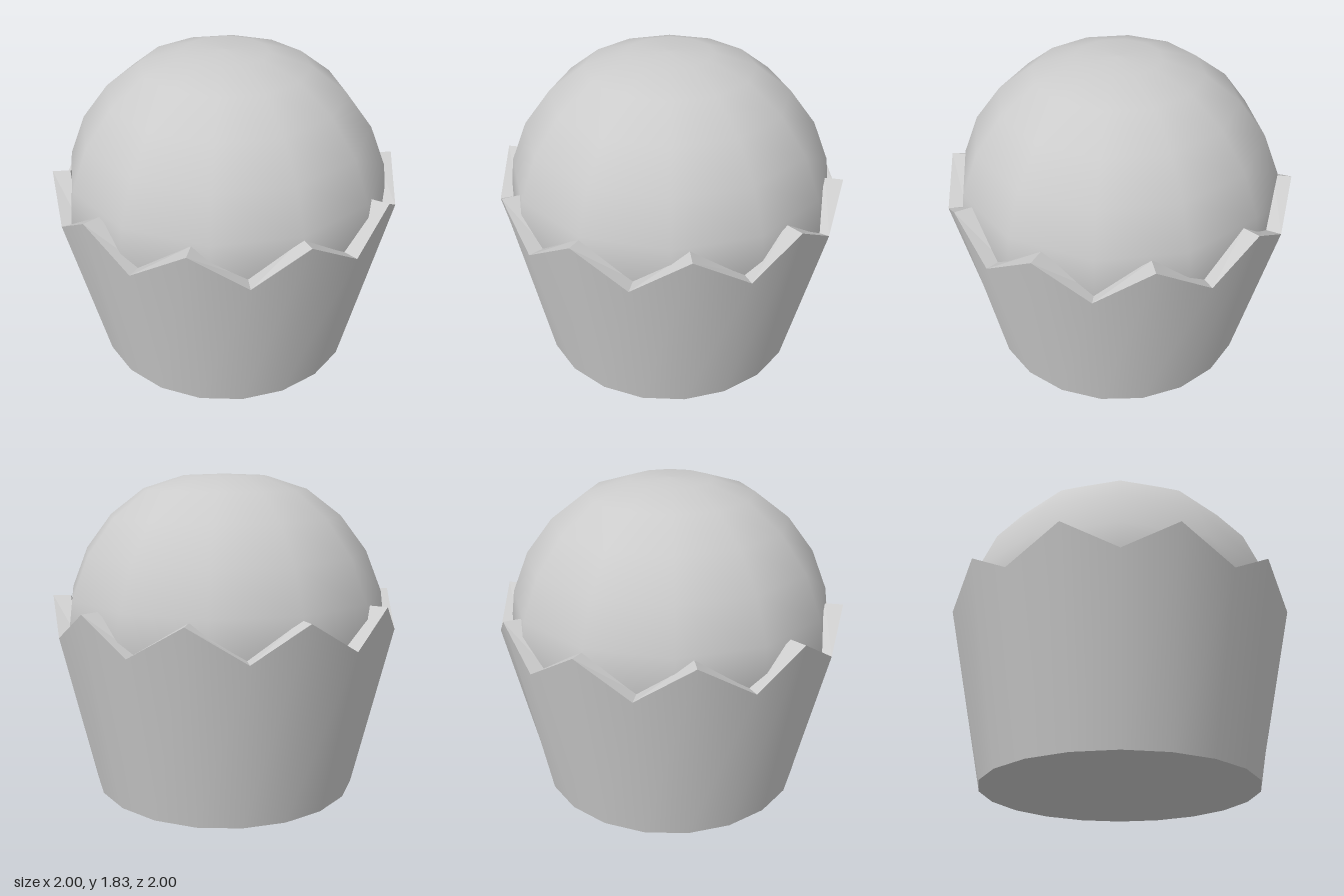
import * as THREE from 'three';

const SIDES = 20;
const PEAK = 1.14, VALLEY = 0.955;

// Height of the zigzag rim: peaks and valleys alternate around the cup
function rimHeight(x, z) {
  const k = Math.round(Math.atan2(x, z) / (2 * Math.PI / SIDES));
  return Math.abs(k) % 2 ? VALLEY : PEAK;
}

// Lift every vertex that passes the test onto the zigzag rim
function zigzag(geometry, isRim) {
  const p = geometry.attributes.position;
  for (let i = 0; i < p.count; i++) {
    if (isRim(p.getY(i))) p.setY(i, rimHeight(p.getX(i), p.getZ(i)));
  }
  return geometry;
}

// Open tapered wall from y0 up to the zigzag rim
function wall(rTop, rBottom, y0) {
  const h = PEAK - y0;
  const g = new THREE.CylinderGeometry(rTop, rBottom, h, SIDES, 1, true);
  g.translate(0, y0 + h / 2, 0);
  return zigzag(g, y => y > y0 + h / 2);
}

export function createModel() {
  const group = new THREE.Group();
  const material = new THREE.MeshStandardMaterial({ color: 0xcccccc });
  const inside = new THREE.MeshStandardMaterial({ color: 0xcccccc, side: THREE.BackSide });

  const add = (name, geometry, parent, mat = material) => {
    const mesh = new THREE.Mesh(geometry, mat);
    mesh.name = name;
    parent.add(mesh);
  };

  // Paper cup: outer wall, inner wall, zigzag edge between them, and base
  const cup = new THREE.Group();
  cup.name = 'cup';
  group.add(cup);
  add('outerWall', wall(1, 0.78, 0), cup);
  add('innerWall', wall(0.9, 0.82, 0.6), cup, inside);

  const ring = new THREE.RingGeometry(0.9, 1, SIDES, 1).rotateX(-Math.PI / 2);
  const edge = zigzag(ring, () => true).toNonIndexed();
  edge.computeVertexNormals();
  add('rimEdge', edge, cup);

  add('base', new THREE.CircleGeometry(0.78, SIDES).rotateX(Math.PI / 2), cup);

  // Cake dome, slightly flattened on top, sunk into the cup
  const profile = [
    [0, 0.68], [0.85, 0.68], [0.95, 0.92], [0.918, 1.16], [0.823, 1.396],
    [0.672, 1.595], [0.475, 1.745], [0.24, 1.82], [0, 1.83],
  ].map(([r, y]) => new THREE.Vector2(r, y));
  add('cakeDome', new THREE.LatheGeometry(profile, 12), group);

  return group;
}
